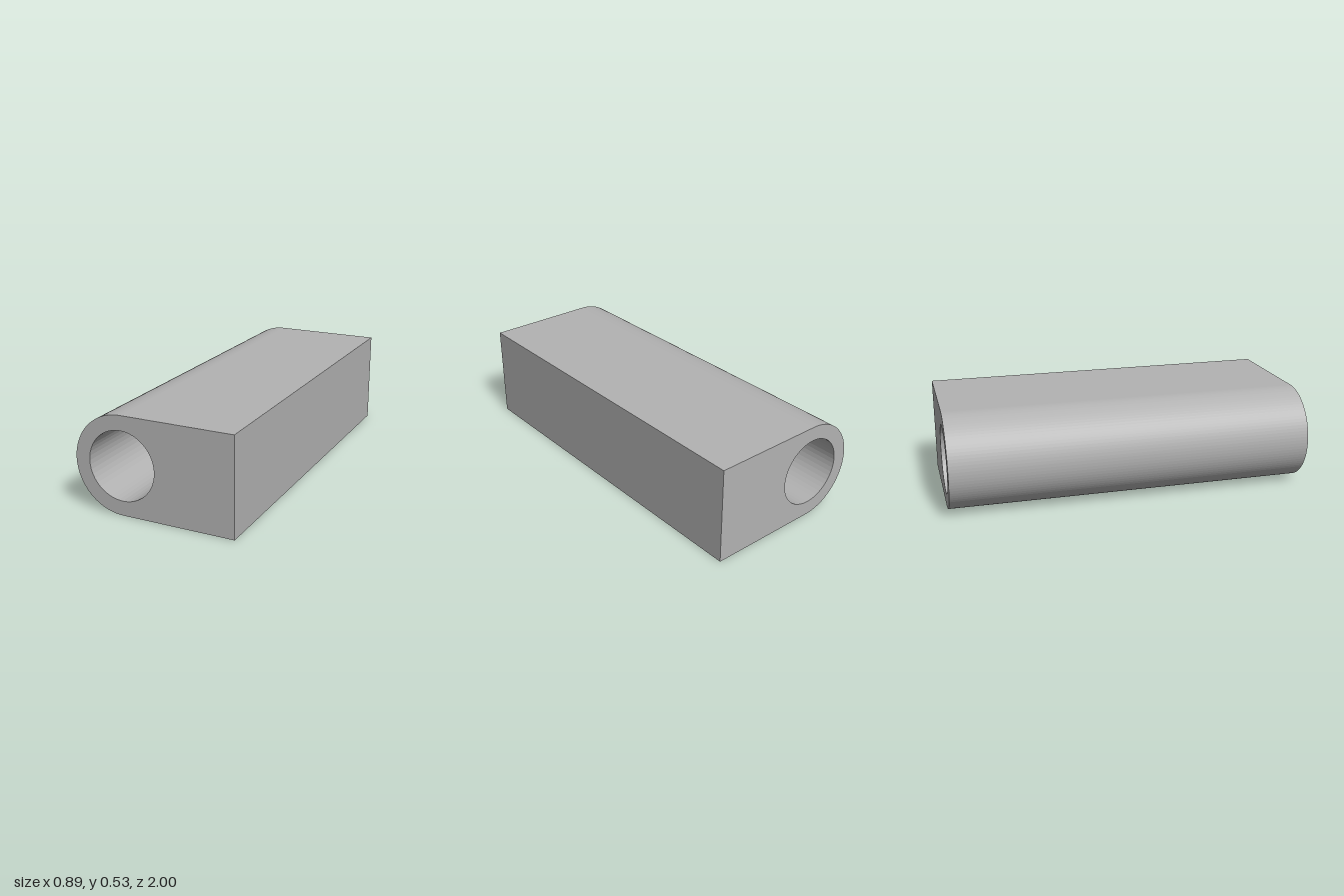
import * as THREE from 'three';

export function createModel() {
  const group = new THREE.Group();
  const grey = new THREE.MeshStandardMaterial({ color: 0xb2b2b2 });
  grey.name = 'plain grey';

  const halfWidth = 0.444, height = 0.533, length = 2;
  const radius = height / 2, boreRadius = 0.187;
  const cx = -halfWidth + radius;

  // Block outline: square on one side, fully rounded on the other
  const outline = new THREE.Shape();
  outline.moveTo(cx, 0);
  outline.lineTo(halfWidth, 0);
  outline.lineTo(halfWidth, height);
  outline.lineTo(cx, height);
  outline.absarc(cx, radius, radius, Math.PI / 2, Math.PI * 1.5, false);

  // Round bore through the full length, concentric with the rounded side
  const bore = new THREE.Path();
  bore.absarc(cx, radius, boreRadius, 0, Math.PI * 2, true);
  outline.holes.push(bore);

  const geometry = new THREE.ExtrudeGeometry(outline, {
    depth: length, bevelEnabled: false, curveSegments: 24,
  });
  geometry.translate(0, 0, -length / 2);

  const block = new THREE.Mesh(geometry, grey);
  block.name = 'boredHingeBlock';
  group.add(block);
  return group;
}
